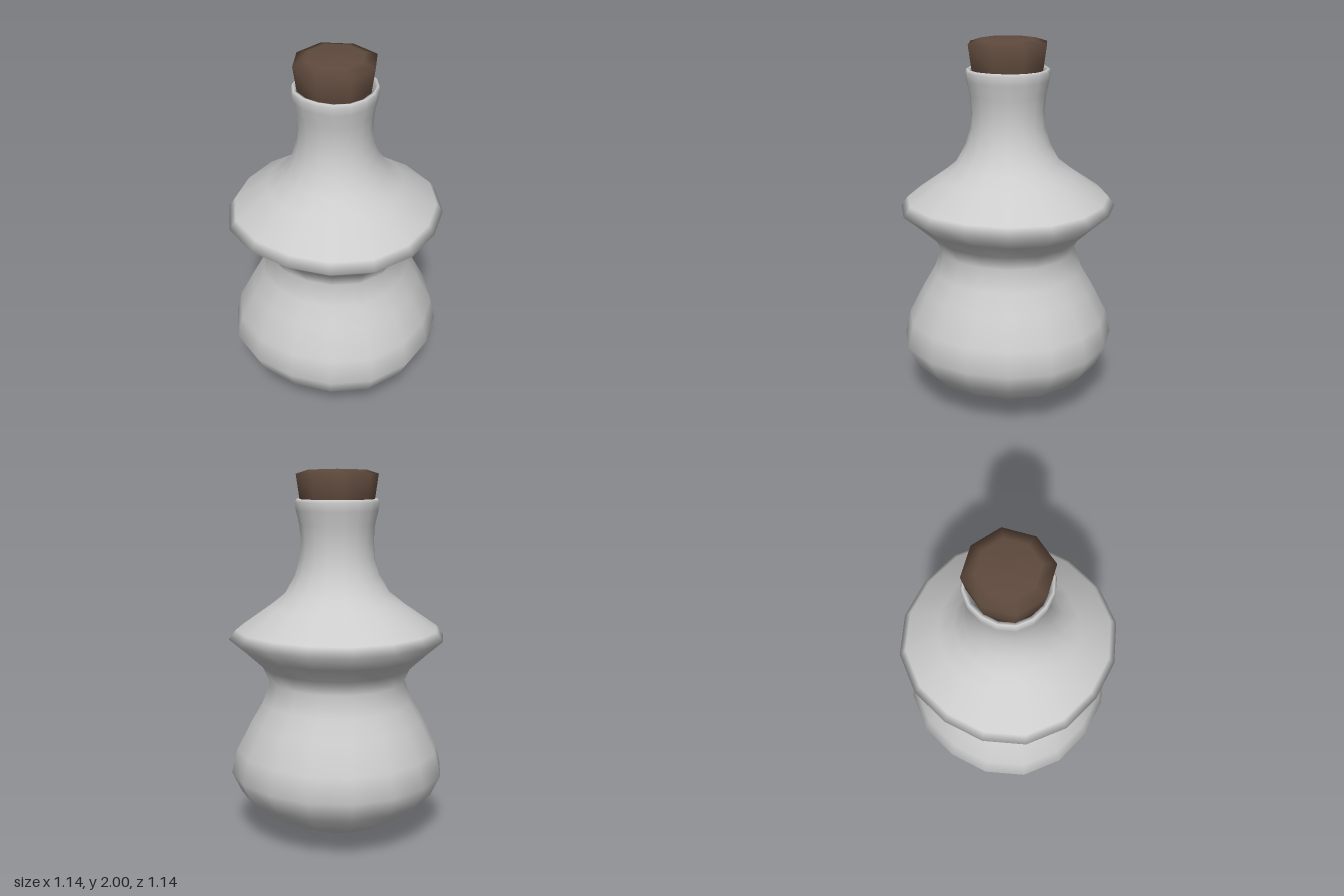
import * as THREE from 'three';

// Lathe whose diagonals swell slightly, giving a softly squared round section
function turned(profile, sides, material, name) {
  const geo = new THREE.LatheGeometry(profile.map(([r, y]) => new THREE.Vector2(r, y)), sides);
  const pos = geo.attributes.position;
  for (let i = 0; i < pos.count; i++) {
    const x = pos.getX(i), z = pos.getZ(i);
    const s = 1 + 0.035 * Math.sin(2 * Math.atan2(x, z)) ** 2;
    pos.setX(i, x * s);
    pos.setZ(i, z * s);
  }
  const mesh = new THREE.Mesh(geo, material);
  mesh.name = name;
  return mesh;
}

export function createModel() {
  const glaze = new THREE.MeshStandardMaterial({ color: 0xcccccc });
  glaze.name = 'pale grey glaze';
  const cork = new THREE.MeshStandardMaterial({ color: 0x5f4a3d });
  cork.name = 'brown cork';

  const group = new THREE.Group();
  group.name = 'flask';

  // Bottle: rounded base, bulb, waist, flared collar, neck, lip and inner wall
  group.add(turned([
    [0, 0], [0.08, 0.012], [0.2, 0.045], [0.3, 0.085], [0.43, 0.155], [0.52, 0.24],
    [0.57, 0.35], [0.54, 0.48], [0.46, 0.64], [0.4, 0.745], [0.36, 0.86],
    [0.395, 0.94], [0.48, 1.02], [0.57, 1.1], [0.535, 1.15], [0.36, 1.275],
    [0.275, 1.345], [0.222, 1.44], [0.197, 1.53], [0.19, 1.62], [0.198, 1.71],
    [0.215, 1.785], [0.22, 1.83], [0.21, 1.845], [0.192, 1.838], [0.17, 1.72],
  ], 16, glaze, 'bottle'));

  // Tapered eight-sided stopper with a slightly domed top
  group.add(turned([
    [0, 1.72], [0.165, 1.72], [0.195, 1.84], [0.214, 1.975], [0.15, 1.996], [0, 2],
  ], 8, cork, 'stopper'));

  return group;
}
